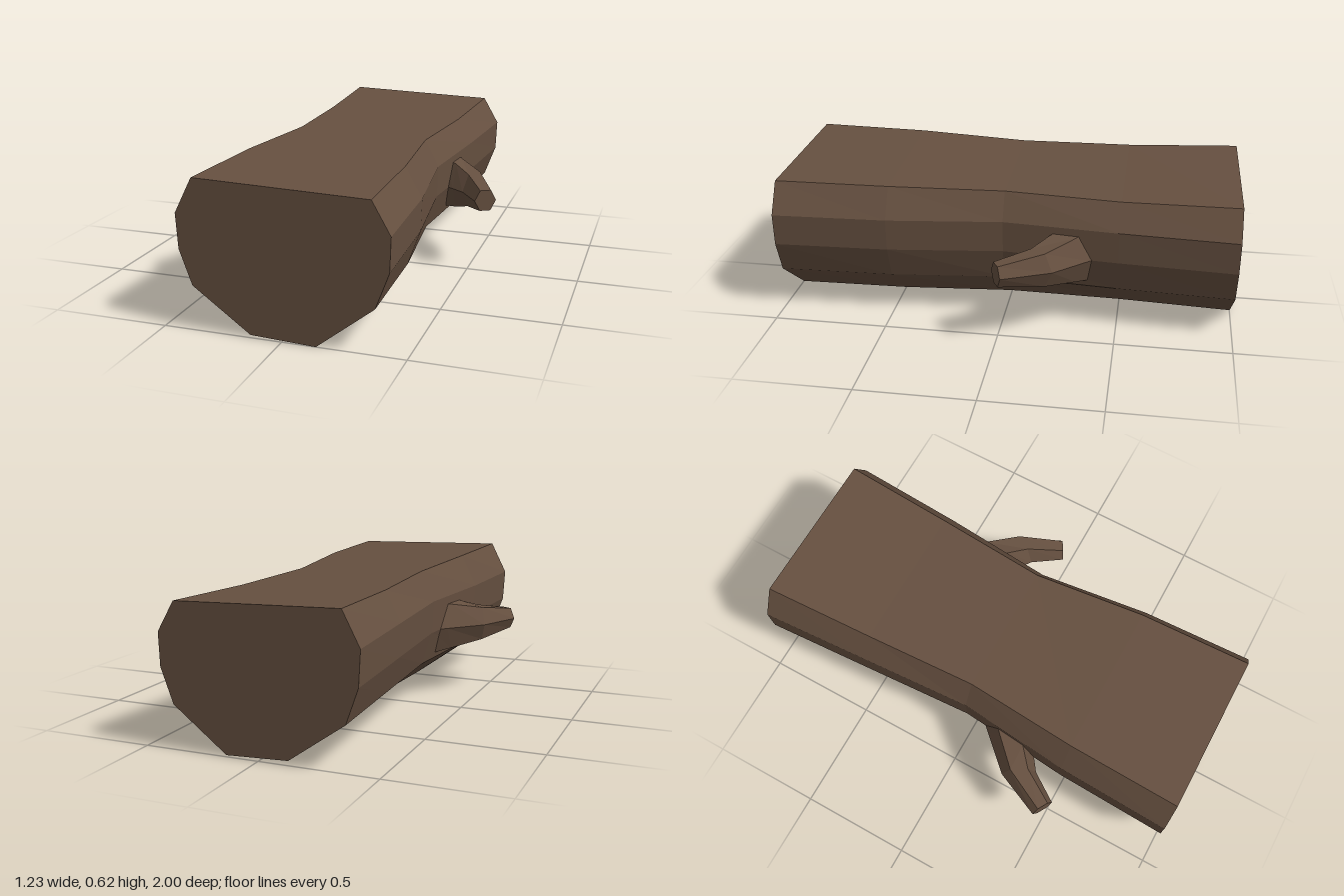
import * as THREE from 'three';

// Faceted solid through a list of rings, each counter-clockwise seen from the last ring's end
function loft(rings) {
  const pos = [];
  const tri = (...points) => points.forEach((p) => pos.push(...p));
  const n = rings[0].length;
  for (let i = 0; i < rings.length - 1; i++) {
    for (let j = 0; j < n; j++) {
      const k = (j + 1) % n;
      const a = rings[i][j], b = rings[i][k], c = rings[i + 1][k], d = rings[i + 1][j];
      tri(a, b, c);
      tri(a, c, d);
    }
  }
  // flat end caps
  const first = rings[0], last = rings[rings.length - 1];
  for (let j = 1; j < n - 1; j++) {
    tri(first[0], first[j + 1], first[j]);
    tri(last[0], last[j], last[j + 1]);
  }
  const geo = new THREE.BufferGeometry();
  geo.setAttribute('position', new THREE.Float32BufferAttribute(pos, 3));
  geo.computeVertexNormals();
  return geo;
}

export function createModel() {
  const group = new THREE.Group();
  const bark = new THREE.MeshStandardMaterial({ color: 0x665040, flatShading: true });
  bark.name = 'brown bark';

  const add = (name, rings) => {
    const mesh = new THREE.Mesh(loft(rings), bark);
    mesh.name = name;
    group.add(mesh);
  };

  // Log: flat-topped cross-section, pinched at the middle
  const profile = [
    [-0.355, 0.627], [-0.43, 0.48], [-0.422, 0.335], [-0.37, 0.19], [-0.13, 0.015],
    [0.14, 0.003], [0.375, 0.188], [0.43, 0.335], [0.435, 0.475], [0.36, 0.607],
  ];
  // z, width scale, sideways shift, top drop, bottom rise
  const stations = [
    [-1, 0.985, 0, 0.005, 0.007],
    [-0.5, 0.915, 0, 0.018, 0.019],
    [0, 0.83, -0.006, 0.014, 0.015],
    [0.5, 0.955, 0, 0.003, 0.004],
    [1, 1, 0, 0, 0],
  ];
  add('log', stations.map(([z, scale, shift, drop, rise]) =>
    profile.map(([x, y]) => {
      const dy = y > 0.55 ? -drop : y < 0.1 ? rise : 0;
      return [x * scale + shift, y + dy, z];
    })));

  // Branch stubs: bent, tapering hexagons. Outer x, z, inner x, z, half height
  const branchRings = [
    [0.33, -0.445, 0.33, -0.19, 0.118],
    [0.39, -0.38, 0.39, -0.145, 0.104],
    [0.525, -0.235, 0.445, -0.105, 0.076],
    [0.616, -0.03, 0.53, 0.02, 0.047],
  ];
  const hexagon = [[1, 0], [0.5, 1], [-0.5, 1], [-1, 0], [-0.5, -1], [0.5, -1]];
  const branch = (name, side, dz) => add(name, branchRings.map(([ox, oz, ix, iz, h]) => {
    const ring = hexagon.map(([u, v]) => [
      side * ((ox + ix) / 2 + (u * (ox - ix)) / 2),
      0.335 + v * h,
      (oz + iz) / 2 + (u * (oz - iz)) / 2 + dz,
    ]);
    return side < 0 ? ring.reverse() : ring;
  }));
  branch('leftBranch', 1, 0);
  branch('rightBranch', -1, 0.505);

  return group;
}
